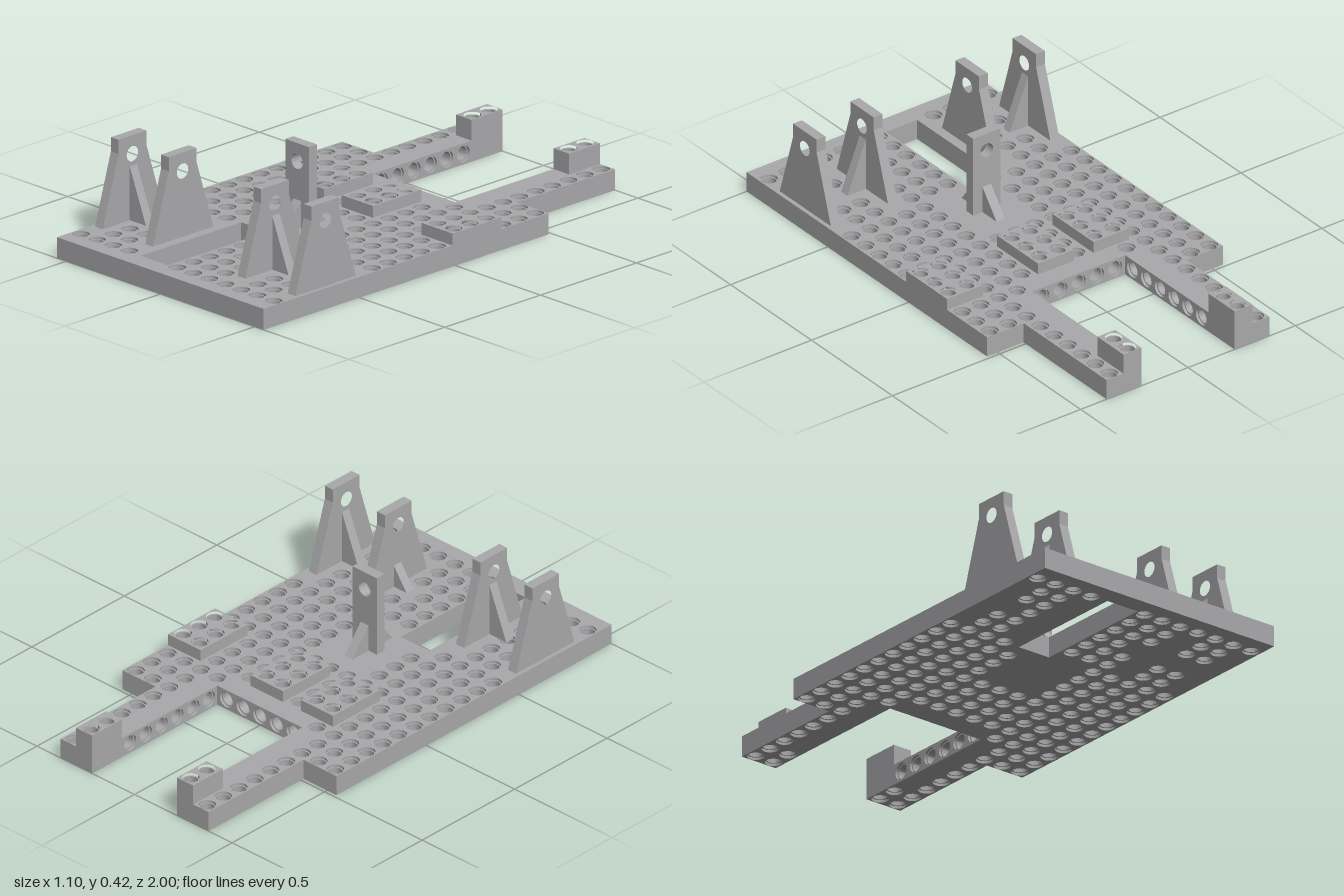
import * as THREE from 'three';
import { mergeGeometries, toCreasedNormals } from 'three/addons/utils/BufferGeometryUtils.js';

const PITCH = 0.0851, H = 0.083;      // hole spacing, plate thickness
const BORE = 0.0275, RIM = 0.033, SINK = 0.01; // bore, recessed rim, rim depth
const colX = (j) => j * PITCH;
const rowZ = (i) => -0.965 + i * 0.0853;

// columns that carry a vertical hole, for each row from back to front
const span = (a, b) => Array.from({ length: b - a + 1 }, (_, k) => a + k);
const both = (a, b) => [...span(-b, -a), ...span(a, b)];
function columns(i) {
  if (i < 2) return both(3, 4);
  if (i < 6) return both(4, 4);
  if (i < 8) return both(4, 6);
  if (i < 9) return both(3, 6);
  if (i < 13) return span(-6, 6);
  if (i < 16) return both(2, 6);
  if (i === 16) return [...span(-6, -3), ...span(2, 6)];
  if (i === 19) return [-4, 0, 1];
  if (i === 22) return [...span(-6, -3), ...span(0, 6)];
  return [-5, -4, 0, 1, 2, 4, 5];
}

const polygon = (pts) => new THREE.Shape(pts.map(([x, y]) => new THREE.Vector2(x, y)));
function addHole(shape, x, y, r) {
  const path = new THREE.Path();
  path.absarc(x, y, r, 0, Math.PI * 2, true);
  shape.holes.push(path);
}
const extrude = (shape, depth) =>
  new THREE.ExtrudeGeometry(shape, { depth, bevelEnabled: false, curveSegments: 10 });

// lining of a hole: two recessed ledges joined by the narrow bore
function sleeve(bottom, top) {
  const pts = [[RIM, top - SINK], [BORE, top - SINK], [BORE, bottom + SINK], [RIM, bottom + SINK]];
  return toCreasedNormals(
    new THREE.LatheGeometry(pts.map(([x, y]) => new THREE.Vector2(x, y)), 20), 0.6);
}

// flat slab seen from above, outline given as [x, z]
function slab(outline, holes, y, height, cutouts = []) {
  const shape = polygon(outline.map(([x, z]) => [x, -z]));
  for (const c of cutouts) shape.holes.push(new THREE.Path(c.map(([x, z]) => new THREE.Vector2(x, -z))));
  for (const [x, z] of holes) addHole(shape, x, -z, RIM);
  return extrude(shape, height).rotateX(-Math.PI / 2).translate(0, y, 0);
}
const rect = (x0, x1, z0, z1) => [[x0, z0], [x1, z0], [x1, z1], [x0, z1]];

// side profile given as [z, y], thickened along x about a centre
function sidePlate(pts, x, thickness, hole) {
  const shape = polygon(pts.map(([z, y]) => [-z, y]));
  if (hole) addHole(shape, -hole[0], hole[1], 0.03);
  return extrude(shape, thickness).rotateY(Math.PI / 2).translate(x - thickness / 2, 0, 0);
}

// beam with sideways holes, running along x from x0 to x1
function beam(x0, x1, centres) {
  const shape = polygon([[x0, 0], [x1, 0], [x1, H], [x0, H]]);
  const parts = [];
  for (const c of centres) {
    addHole(shape, c, H / 2, RIM);
    parts.push(sleeve(0, H).rotateX(Math.PI / 2).translate(c, H / 2, 0));
  }
  parts.push(extrude(shape, H));
  return mergeGeometries(parts.map((g) => (g.index ? g.toNonIndexed() : g)));
}

export function createModel() {
  const group = new THREE.Group();
  const grey = new THREE.MeshStandardMaterial({ color: 0xa9a9ab });
  grey.name = 'grey';
  const add = (name, geometry) => {
    const mesh = new THREE.Mesh(geometry, grey);
    mesh.name = name;
    group.add(mesh);
  };

  // raised blocks: x range, z range, top height
  const blocks = [
    ['raisedBlockRight', -0.297, -0.133, -0.24, 0.014, 0.13],
    ['raisedBlockCentre', -0.041, 0.125, -0.24, 0.014, 0.13],
    ['raisedBlockLeft', 0.382, 0.5485, -0.24, 0.014, 0.13],
    ['armBlockRight', -0.3, -0.217, -1, -0.838, 0.165],
    ['armBlockLeft', 0.217, 0.3, -1, -0.838, 0.165],
  ];
  const inside = ([, x0, x1, z0, z1], [x, z]) => x > x0 && x < x1 && z > z0 && z < z1;

  // base plate with two rear arms and a rectangular opening
  const holes = [];
  for (let i = 0; i < 23; i++) for (const j of columns(i)) holes.push([colX(j), rowZ(i)]);
  const half = [[0.5485, 1], [0.5485, -0.487], [0.379, -0.487], [0.379, -1], [0.217, -1],
    [0.217, -0.838], [0.3, -0.838], [0.3, -0.324], [0.217, -0.324], [0.217, -0.241]];
  const outline = [...half, ...half.map(([x, z]) => [-x, z]).reverse()];
  add('basePlate', slab(outline, holes, 0, H, [rect(-0.185, -0.041, 0.397, 0.92)]));

  for (const b of blocks) {
    const [name, x0, x1, z0, z1, top] = b;
    add(name, slab(rect(x0, x1, z0, z1), holes.filter((h) => inside(b, h)), H, top - H));
  }

  // linings of all vertical holes
  add('holeLinings', mergeGeometries(holes.map((h) => {
    const block = blocks.find((b) => inside(b, h));
    return sleeve(0, block ? block[5] : H).translate(h[0], 0, h[1]);
  })));

  // beams with sideways holes around the rear gap
  add('rearBeam', beam(-0.217, 0.217, span(-2, 2).map(colX)).translate(0, 0, -0.324));
  const armRows = span(2, 7).map((i) => -rowZ(i));
  for (const [name, x] of [['armBeamLeft', 0.217], ['armBeamRight', -0.3]]) {
    add(name, beam(0.324, 0.838, armRows).rotateY(Math.PI / 2).translate(x, 0, 0));
  }

  // four tapered bearing stands with triangular braces
  const Z = 0.66;
  const stand = [[Z + 0.158, H], [Z + 0.075, 0.36], [Z + 0.075, 0.416],
    [Z - 0.07, 0.416], [Z - 0.07, 0.36], [Z - 0.158, H]];
  const brace = (x, reach, height) =>
    extrude(polygon([[x, H], [x + reach, H], [x, height]]), 0.038).translate(0, 0, Z - 0.021);
  const stands = [
    ['outerRight', -0.511, 1], ['innerRight', -0.245, -1],
    ['innerLeft', 0.245, 1], ['outerLeft', 0.511, -1],
  ];
  for (const [name, x, side] of stands) {
    add(name + 'Stand', sidePlate(stand, x, 0.041, [Z + 0.003, 0.343]));
    add(name + 'Brace', brace(x + side * 0.0205, side * 0.086, 0.296));
  }
  add('smallBrace', brace(0.2245, -0.065, 0.175));

  // centre post with front and back braces
  const post = polygon([[-0.063, H], [0.063, H], [0.063, 0.416], [-0.063, 0.416]]);
  addHole(post, 0, 0.343, 0.03);
  add('centrePost', extrude(post, 0.042).translate(0, 0, 0.244));
  add('centrePostFrontBrace', sidePlate([[0.286, H], [0.373, H], [0.286, 0.192]], 0, 0.04));
  add('centrePostBackBrace', sidePlate([[0.244, H], [0.157, H], [0.244, 0.192]], 0, 0.04));

  return group;
}
